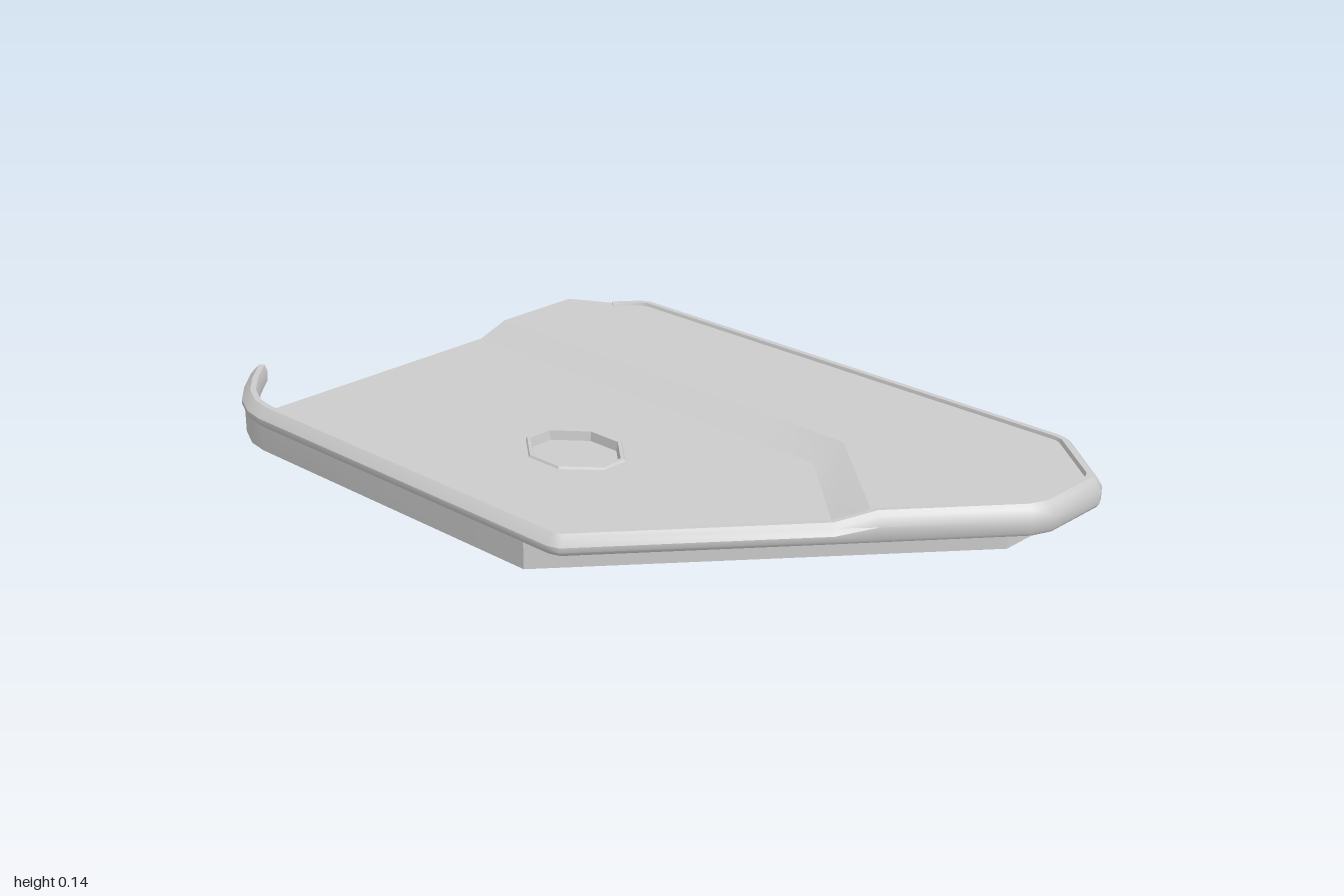
import * as THREE from 'three';
import { toCreasedNormals } from 'three/addons/utils/BufferGeometryUtils.js';

const LOW = 0.098, HIGH = 0.127; // heights of the two plate levels

function mat() {
  return new THREE.MeshStandardMaterial({ color: 0xcccccc, side: THREE.DoubleSide });
}

function addMesh(group, name, geometry) {
  const mesh = new THREE.Mesh(geometry, mat());
  mesh.name = name;
  group.add(mesh);
}

// Surface through equal-length rows of [x, y, z] points
function loft(rows, crease = 0.6, capEnds = false) {
  const n = rows[0].length, index = [];
  for (let i = 0; i < rows.length - 1; i++) {
    for (let j = 0; j < n - 1; j++) {
      const a = i * n + j, b = a + n;
      index.push(a, b, a + 1, a + 1, b, b + 1);
    }
  }
  if (capEnds) {
    const last = (rows.length - 1) * n;
    for (let j = 1; j < n - 2; j++) {
      index.push(0, j, j + 1, last, last + j + 1, last + j);
    }
  }
  const g = new THREE.BufferGeometry();
  g.setAttribute('position', new THREE.Float32BufferAttribute(rows.flat(2), 3));
  g.setIndex(index);
  return toCreasedNormals(g, crease);
}

// Inward mitre vector at each point of an open [x, z] path
function mitres(path) {
  const dirs = path.slice(1).map((p, i) => {
    const dx = p[0] - path[i][0], dz = p[1] - path[i][1], l = Math.hypot(dx, dz);
    return [dz / l, -dx / l];
  });
  return path.map((_, i) => {
    const a = dirs[Math.max(0, i - 1)], b = dirs[Math.min(dirs.length - 1, i)];
    const k = 1 + a[0] * b[0] + a[1] * b[1];
    return [(a[0] + b[0]) / k, (a[1] + b[1]) / k];
  });
}

// Flat horizontal sheet from [x, z] corners
function sheet(points, y, hole) {
  const to2 = ([x, z]) => new THREE.Vector2(x, -z);
  const shape = new THREE.Shape(points.map(to2));
  if (hole) shape.holes.push(new THREE.Path(hole.map(to2)));
  return new THREE.ShapeGeometry(shape).rotateX(-Math.PI / 2).translate(0, y, 0);
}

export function createModel() {
  const model = new THREE.Group();
  model.name = 'panel';

  // Rim outline: hooked tail, left side, slanted front, nose, right side
  const hook = [[-0.43, -1], [-0.5, -0.935], [-0.555, -0.87], [-0.59, -0.8], [-0.6, -0.74]];
  const rimPath = [
    ...hook, [-0.6, 0.28], [-0.59, 0.31], [-0.135, 0.697], [-0.06, 0.76], [0.2, 0.98],
    [0.25, 1], [0.43, 1], [0.46, 0.985], [0.59, 0.825], [0.6, 0.79],
    [0.6, -0.55], [0.585, -0.585], [0.52, -0.64],
  ];
  const rimMitres = mitres(rimPath);
  const rimRows = rimPath.map(([x, z], i) => {
    const lift = i >= 8 ? 0.025 : 0;
    const profile = [
      [0.006, 0.065], [0, 0.074], [0, 0.086 + lift * 0.7], [0.012, 0.1 + lift],
      [0.022, 0.11 + lift], [0.036, 0.11 + lift], [0.042, 0.094 + lift], [0.04, 0.065], [0.006, 0.065],
    ];
    const [mx, mz] = rimMitres[i];
    return profile.map(([d, y]) => [x + mx * d, y, z + mz * d]);
  });
  addMesh(model, 'rim', loft(rimRows, 0.7, true));

  // Thin skirt wall below the rim, cutting in under the nose
  const skirtPath = [
    ...hook, [-0.595, 0.2], [0.225, 0.9], [0.45, 0.9], [0.595, 0.73],
    [0.595, -0.55], [0.58, -0.585], [0.53, -0.625],
  ];
  const skirtMitres = mitres(skirtPath);
  const skirtRows = skirtPath.map(([x, z], i) => {
    const d = i < hook.length ? 0.006 : 0;
    const px = x + skirtMitres[i][0] * d, pz = z + skirtMitres[i][1] * d;
    return [[px, 0, pz], [px, 0.068, pz]];
  });
  addMesh(model, 'skirt', loft(skirtRows));

  // Step line dividing the lower plate from the raised one
  const stepLow = [[0.13, -0.74], [0.115, 0.2], [0.115, 0.425], [-0.12, 0.68]];
  const stepHigh = [[0.215, -0.74], [0.21, 0.2], [0.205, 0.44], [-0.055, 0.735]];
  const stepRows = stepLow.map((p, i) => [[p[0], LOW, p[1]], [stepHigh[i][0], HIGH, stepHigh[i][1]]]);
  addMesh(model, 'step', loft(stepRows));

  // Octagonal opening in the lower plate
  const octagon = [
    [-0.25, -0.16], [-0.18, -0.16], [-0.11, -0.075], [-0.11, 0.025],
    [-0.18, 0.105], [-0.25, 0.105], [-0.32, 0.025], [-0.32, -0.075],
  ];
  const cx = -0.215, cz = -0.027;
  const scaled = (s) => octagon.map(([x, z]) => [cx + (x - cx) * s, cz + (z - cz) * s]);

  // Plates
  addMesh(model, 'lowerPlate', sheet(
    [[-0.57, -0.74], ...stepLow, [-0.57, 0.28]], LOW, octagon));
  addMesh(model, 'raisedPlate', sheet([
    ...stepHigh, [0.22, 0.955], [0.26, 0.97], [0.42, 0.97], [0.565, 0.79],
    [0.565, -0.54], [0.52, -0.62], [0.455, -0.74],
  ], HIGH));

  // Recess with a small raised lip
  const lip = [[1, LOW], [0.97, 0.103], [0.9, 0.103], [0.87, 0.08]];
  const lipRows = lip.map(([s, y]) => {
    const ring = scaled(s).map(([x, z]) => [x, y, z]);
    return [...ring, ring[0]];
  });
  addMesh(model, 'recessLip', loft(lipRows, 0.5));
  addMesh(model, 'recessFloor', sheet(scaled(0.87), 0.08));

  return model;
}
